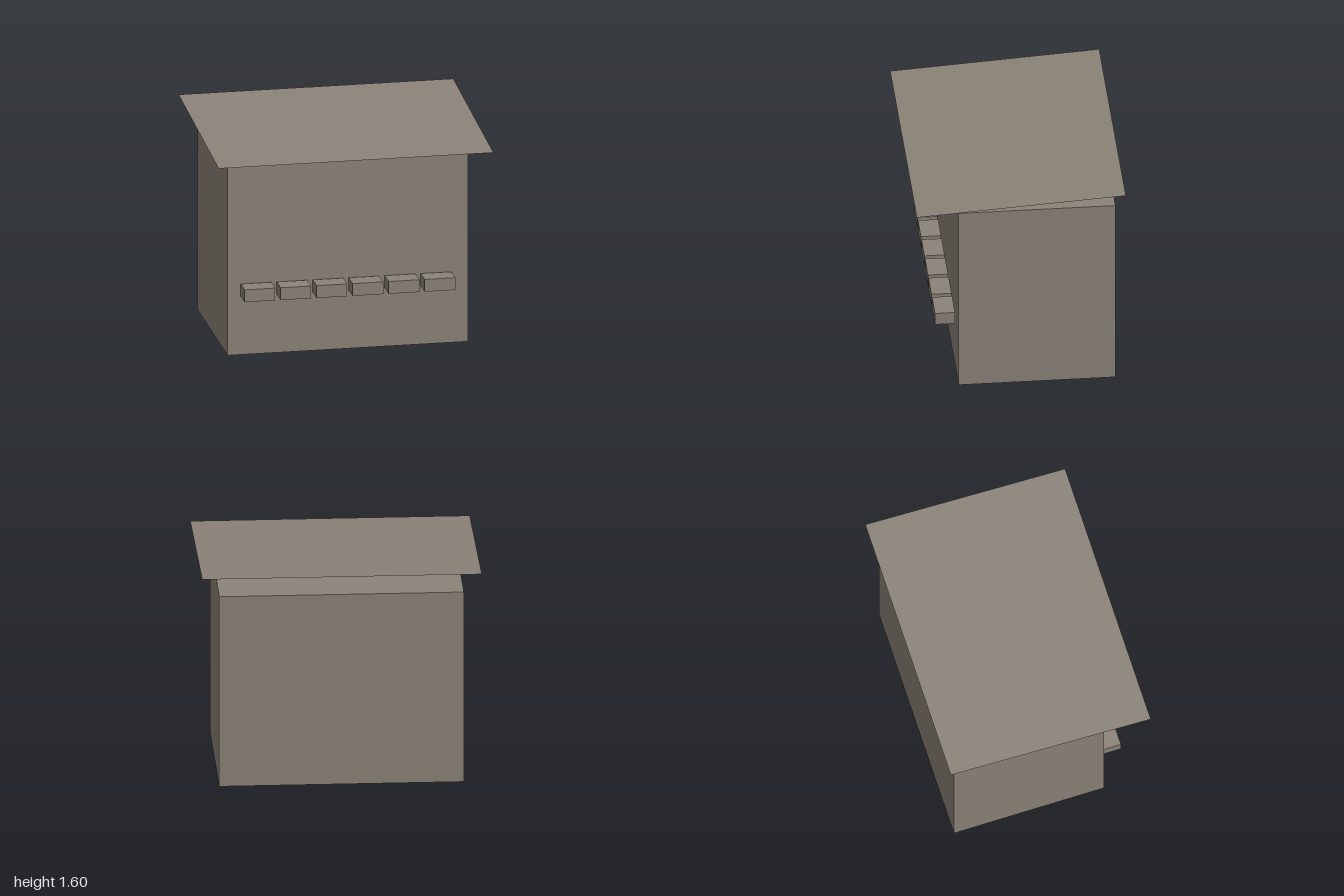
import * as THREE from 'three';

export function createModel() {
  const model = new THREE.Group();
  const weathered = new THREE.MeshStandardMaterial({ color: 0x8b8378, side: THREE.DoubleSide });
  weathered.name = 'weatheredGrey';

  const add = (name, geometry, x, y, z) => {
    const mesh = new THREE.Mesh(geometry, weathered);
    mesh.name = name;
    mesh.position.set(x, y, z);
    model.add(mesh);
    return mesh;
  };

  // Hollow stall body, open underneath: drop the box's bottom face (its 4th group of 6 indices)
  const body = new THREE.BoxGeometry(1.75, 1.44, 1.125);
  const index = Array.from(body.index.array);
  index.splice(18, 6);
  body.setIndex(index);
  body.clearGroups();
  add('body', body, 0, 0.72, -0.125);

  // Thin roof sheet floating above the body, sloping down to the front
  const rise = 0.095, depth = 1.5;
  const roof = new THREE.PlaneGeometry(2, Math.hypot(depth, rise));
  roof.rotateX(-Math.PI / 2 + Math.atan2(rise, depth));
  add('roof', roof, 0, 1.548, 0);

  // Row of small blocks along the front
  for (let i = 0; i < 6; i++) {
    add(`frontBlock${i + 1}`, new THREE.BoxGeometry(0.223, 0.092, 0.145), -0.67 + i * 0.262, 0.487, 0.524);
  }
  return model;
}
